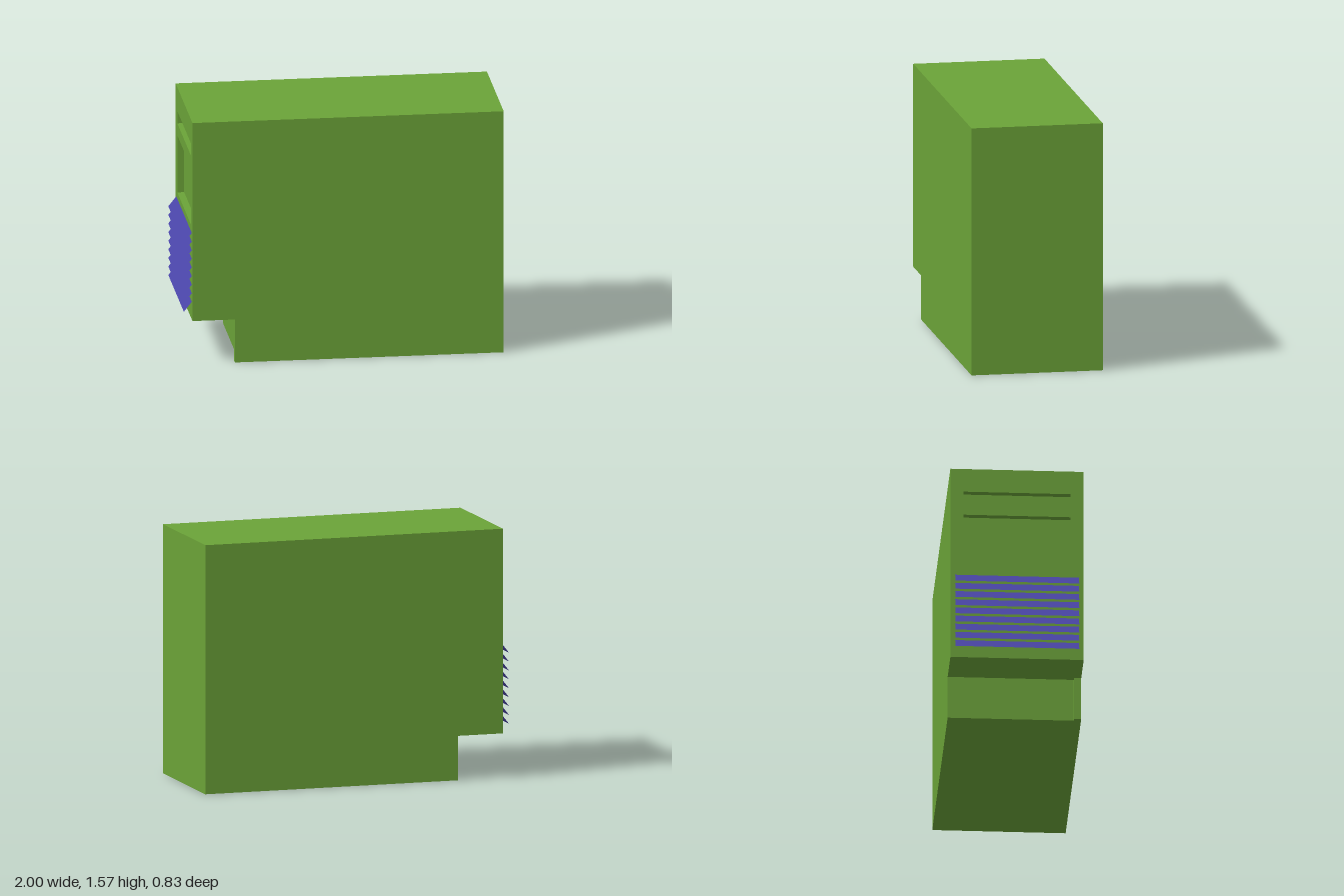
import * as THREE from 'three';

const HEIGHT = 1.57, HALF_DEPTH = 0.415, NOTCH_Y = 0.28;
const CORE_X = -0.907, FACE_X = -0.95, NOTCH_X = -0.655;

// Traces a rectangle onto a Shape or Path
function rect(path, x0, y0, x1, y1) {
  path.moveTo(x0, y0);
  path.lineTo(x1, y0);
  path.lineTo(x1, y1);
  path.lineTo(x0, y1);
  path.closePath();
  return path;
}

export function createModel() {
  const model = new THREE.Group();
  const green = new THREE.MeshStandardMaterial({ color: 0x6ba338 });
  const blue = new THREE.MeshStandardMaterial({ color: 0x4a45a8, side: THREE.DoubleSide });

  const add = (name, geometry, material, parent = model) => {
    const mesh = new THREE.Mesh(geometry, material);
    mesh.name = name;
    parent.add(mesh);
    return mesh;
  };

  // Cabinet body: side profile with a toe notch, extruded across the depth
  const profile = new THREE.Shape([
    [NOTCH_X, 0], [1, 0], [1, HEIGHT], [CORE_X, HEIGHT], [CORE_X, NOTCH_Y], [NOTCH_X, NOTCH_Y],
  ].map(([x, y]) => new THREE.Vector2(x, y)));
  const body = new THREE.ExtrudeGeometry(profile, { depth: 2 * HALF_DEPTH, bevelEnabled: false });
  body.translate(0, 0, -HALF_DEPTH);
  add('cabinetBody', body, green);

  // Face panel on the -x end, pierced by a slot and a window (shape x runs along z)
  const face = rect(new THREE.Shape(), -HALF_DEPTH, NOTCH_Y, HALF_DEPTH, HEIGHT);
  face.holes.push(
    rect(new THREE.Path(), -0.334, 1.335, 0.334, 1.415),
    rect(new THREE.Path(), -0.334, 0.885, 0.334, 1.257),
  );
  const panel = new THREE.ExtrudeGeometry(face, { depth: CORE_X - FACE_X, bevelEnabled: false });
  panel.rotateY(-Math.PI / 2).translate(CORE_X, 0, 0);
  add('facePanel', panel, green);

  // Narrow corner strip inside the toe notch
  const strip = new THREE.BoxGeometry(0.029, NOTCH_Y, 0.045);
  strip.translate(NOTCH_X - 0.0145, NOTCH_Y / 2, HALF_DEPTH - 0.0225);
  add('notchCornerStrip', strip, green);

  // Vent: nine thin slats sloping down and outward
  const vent = new THREE.Group();
  vent.name = 'ventLouvres';
  model.add(vent);
  const run = 0.05, rise = 0.063;
  const slat = new THREE.PlaneGeometry(0.77, Math.hypot(run, rise));
  slat.rotateY(-Math.PI / 2).rotateZ(-Math.atan2(run, rise));
  for (let i = 0; i < 9; i++) {
    add('ventSlat', slat, blue, vent).position.set(FACE_X - run / 2, 0.333 + rise / 2 + i * 0.056, 0);
  }

  return model;
}
